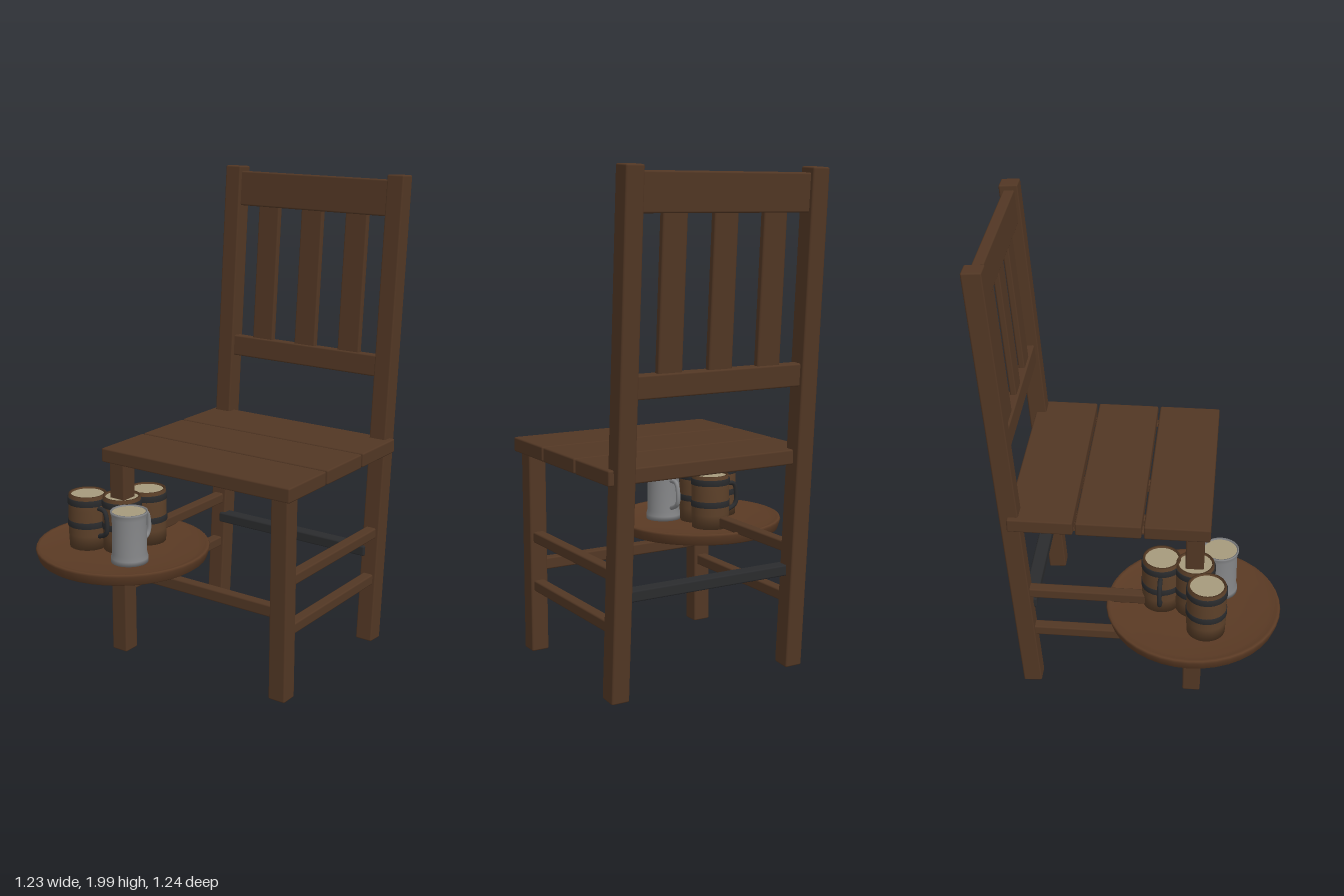
import * as THREE from 'three';
import { RoundedBoxGeometry } from 'three/addons/geometries/RoundedBoxGeometry.js';

const mat = (name, color, side = THREE.FrontSide) => {
  const m = new THREE.MeshStandardMaterial({ color, side });
  m.name = name;
  return m;
};

export function createModel() {
  const wood = mat('chair wood', 0x523724);
  const trayWood = mat('tray wood', 0x5a3a24);
  const barrelWood = mat('barrel wood', 0x5c4029);
  const iron = mat('dark iron', 0x2a2b2d);
  const pewter = mat('pewter', 0x868789);
  const foam = mat('foam', 0xa69a7c);

  const model = new THREE.Group();
  model.name = 'chairWithTray';

  const add = (parent, name, geometry, material, x = 0, y = 0, z = 0) => {
    const mesh = new THREE.Mesh(geometry, material);
    mesh.name = name;
    mesh.position.set(x, y, z);
    parent.add(mesh);
    return mesh;
  };
  // Slightly eased plank given by its minimum and maximum on each axis
  const plank = (parent, name, [x0, x1], [y0, y1], [z0, z1], material = wood) =>
    add(parent, name, new RoundedBoxGeometry(x1 - x0, y1 - y0, z1 - z0, 1, 0.007), material,
      (x0 + x1) / 2, (y0 + y1) / 2, (z0 + z1) / 2);
  const lathe = (points) => new THREE.LatheGeometry(points.map(([r, y]) => new THREE.Vector2(r, y)), 40);

  const legX = [-0.247, 0.55];

  // Seat boards
  for (const z of [[-0.51, -0.24], [-0.23, 0.04], [0.05, 0.32]])
    plank(model, 'seatBoard', [-0.305, 0.61], [0.845, 0.905], z);

  // Front legs and side rails
  for (const x of legX) {
    plank(model, 'frontLeg', [x - 0.038, x + 0.038], [0.005, 0.85], [0.22, 0.296]);
    for (const y of [0.265, 0.472])
      plank(model, 'sideRail', [x - 0.024, x + 0.024], [y, y + 0.045], [-0.45, 0.24]);
    plank(model, 'seatBearer', [x - 0.025, x + 0.025], [0.80, 0.85], [-0.47, 0.24]).scale.y = 0.2;
    model.children.at(-1).position.y = 0.848;
  }
  plank(model, 'frontRail', [-0.23, 0.53], [0.345, 0.395], [0.235, 0.28]);
  plank(model, 'backRail', [-0.23, 0.53], [0.385, 0.43], [-0.475, -0.415], iron);

  // Leaning back frame
  const back = new THREE.Group();
  back.name = 'backFrame';
  back.position.z = -0.441;
  back.rotation.x = -0.069;
  model.add(back);
  for (const x of legX)
    plank(back, 'backLeg', [x - 0.038, x + 0.038], [0.005, 2.0], [-0.04, 0.04]);
  plank(back, 'topRail', [-0.23, 0.53], [1.83, 1.978], [-0.024, 0.024]);
  plank(back, 'lowerBackRail', [-0.23, 0.53], [1.163, 1.253], [-0.024, 0.024]);
  for (const x of [-0.067, 0.15, 0.367])
    plank(back, 'backSlat', [x - 0.052, x + 0.052], [1.24, 1.84], [-0.014, 0.014]);

  // Round tray with a raised lip
  add(model, 'tray', lathe([[0, 0.43], [0.345, 0.43], [0.355, 0.437], [0.366, 0.472], [0.362, 0.481],
    [0.35, 0.481], [0.32, 0.468], [0.2, 0.462], [0, 0.46]]), trayWood, -0.25, 0, 0.256);

  // Handle loop reaching out along local +x
  const handle = (parent, r, material) => {
    const path = new THREE.CatmullRomCurve3([[r - 0.01, 0.18], [r + 0.04, 0.178], [r + 0.055, 0.14],
      [r + 0.05, 0.085], [r - 0.01, 0.055]].map(([x, y]) => new THREE.Vector3(x, y, 0)));
    add(parent, 'mugHandle', new THREE.TubeGeometry(path, 20, 0.01, 8), material);
  };
  const mugGroup = (name, x, z, turn) => {
    const g = new THREE.Group();
    g.name = name;
    g.position.set(x, 0.463, z);
    g.rotation.y = turn;
    model.add(g);
    return g;
  };

  // Wooden barrel mugs with iron hoops
  for (const [x, z, turn] of [[-0.39, 0.315, -0.25], [-0.25, 0.26, -2.5 + Math.PI * 2], [-0.226, 0.12, Math.PI]]) {
    const g = mugGroup('woodenMug', x, z, turn);
    add(g, 'mugBody', lathe([[0, 0], [0.079, 0], [0.082, 0.06], [0.082, 0.17], [0.079, 0.232],
      [0.07, 0.232], [0.068, 0.2]]), barrelWood);
    for (const y of [0.108, 0.204])
      add(g, 'mugHoop', lathe([[0.08, y - 0.013], [0.085, y - 0.013], [0.085, y + 0.013], [0.08, y + 0.013]]), iron);
    add(g, 'foam', new THREE.CylinderGeometry(0.071, 0.071, 0.008, 32), foam, 0, 0.222, 0);
    handle(g, 0.08, iron);
  }

  // Pewter tankard
  const tankard = mugGroup('tankard', -0.13, 0.36, Math.PI / 2);
  add(tankard, 'tankardBody', lathe([[0, 0], [0.077, 0], [0.077, 0.02], [0.072, 0.04], [0.071, 0.19],
    [0.077, 0.21], [0.077, 0.217], [0.07, 0.217], [0.067, 0.19]]), pewter);
  add(tankard, 'foam', new THREE.CylinderGeometry(0.07, 0.07, 0.008, 32), foam, 0, 0.208, 0);
  handle(tankard, 0.072, pewter);

  return model;
}
